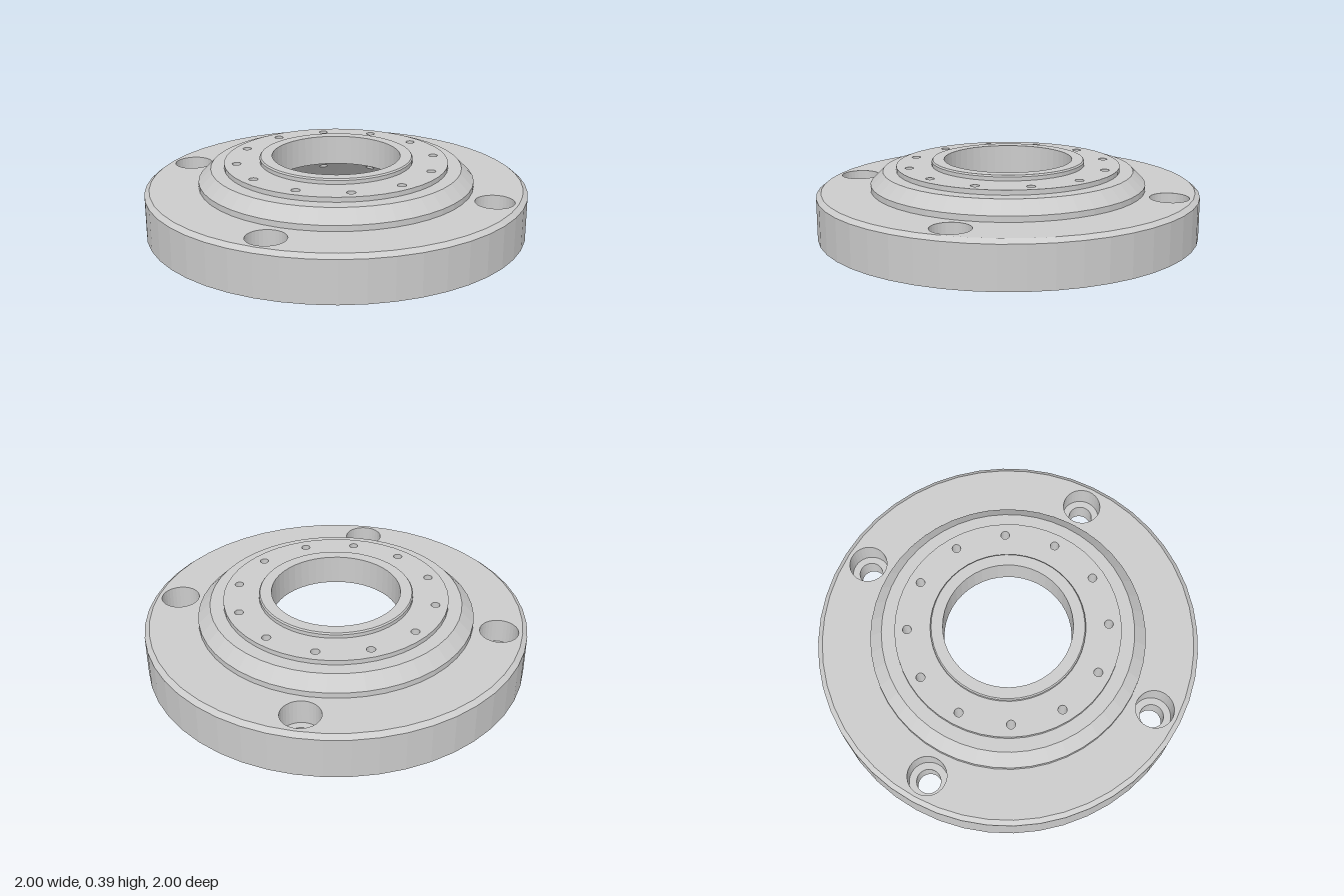
import * as THREE from 'three';

const SEG = 48;
const BOLT = { count: 4, ring: 0.855, bore: 0.0625, counterbore: 0.1, seat: 0.11 };
const PIN = { count: 12, ring: 0.52, r: 0.023 };
const DECK = 0.24, LAND = 0.36;
const LIP_R = 0.725, LIP_Y = 0.03, HUB_R = 0.4, HUB_Y = 0.23;

// Height of the conical underside at a given radius
const coneY = (r) => LIP_Y + (HUB_Y - LIP_Y) * (LIP_R - r) / (LIP_R - HUB_R);

// Points along an arc, angles in radians
function arc(r, a0, a1, n, cx = 0, cy = 0) {
  return Array.from({ length: n + 1 }, (_, i) => {
    const a = a0 + (a1 - a0) * i / n;
    return new THREE.Vector2(cx + r * Math.cos(a), cy + r * Math.sin(a));
  });
}
const circle = (r, n, cx = 0, cy = 0) => arc(r, 0, 2 * Math.PI, n, cx, cy).slice(0, n);

// Hole centres evenly spaced on a pitch circle
const centres = (count, ring) => circle(ring, count);

export function createModel() {
  const model = new THREE.Group();
  const material = new THREE.MeshStandardMaterial({ color: 0xcccccc, flatShading: true });

  function add(name, geometry, parent = model) {
    const mesh = new THREE.Mesh(geometry, material);
    mesh.name = name;
    parent.add(mesh);
    return mesh;
  }
  const lathe = (profile, n = SEG) =>
    new THREE.LatheGeometry(profile.map(([r, y]) => new THREE.Vector2(r, y)), n);

  // Flat ring with round holes, facing up or down
  function ring(rIn, rOut, y, holes, holeR, holeSeg, up) {
    const shape = new THREE.Shape(circle(rOut, SEG));
    shape.holes.push(new THREE.Path(circle(rIn, SEG)));
    for (const c of holes) shape.holes.push(new THREE.Path(circle(holeR, holeSeg, c.x, c.y)));
    return new THREE.ShapeGeometry(shape).rotateX(up ? -Math.PI / 2 : Math.PI / 2).translate(0, y, 0);
  }

  const bolts = centres(BOLT.count, BOLT.ring);
  const pins = centres(PIN.count, PIN.ring);

  // Flange: rim with chamfer, drilled deck and drilled base
  add('flangeRim', lathe([[1, 0], [1, 0.22], [0.975, DECK]]));
  add('flangeDeck', ring(0.72, 0.975, DECK, bolts, BOLT.counterbore, 32, true));
  add('flangeBase', ring(LIP_R, 1, 0, bolts, BOLT.bore, 32, false));

  // Raised shoulder, drilled land and central hub with its bore
  add('shoulder', lathe([[0.72, DECK], [0.72, 0.27], [0.655, 0.335], [0.585, 0.335], [0.585, LAND]]));
  add('land', ring(HUB_R, 0.585, LAND, pins, PIN.r, 16, true));
  add('hubAndBore', lathe([[HUB_R, LAND], [HUB_R, 0.38], [0.394, 0.388], [0.335, 0.388],
    [0.335, HUB_Y], [HUB_R, HUB_Y]]));

  // Recess lip under the flange
  add('recessLip', lathe([[LIP_R, LIP_Y], [LIP_R, 0]]));

  // Counterbored bolt holes
  const boltWall = lathe([[BOLT.counterbore, DECK], [BOLT.counterbore, BOLT.seat],
    [BOLT.bore, BOLT.seat], [BOLT.bore, 0]], 32);
  for (const c of bolts) add('boltHole', boltWall).position.set(c.x, 0, c.y);

  // Conical recess, in narrow sectors that alternate drilled and plain
  const recess = new THREE.Group();
  recess.name = 'conicalRecess';
  model.add(recess);
  const half = Math.PI / 24;
  for (let i = 0; i < 2 * PIN.count; i++) {
    const mid = i * 2 * half;
    const shape = new THREE.Shape([
      ...arc(LIP_R, mid - half, mid + half, 2),
      ...arc(HUB_R, mid + half, mid - half, 2),
    ]);
    if (i % 2 === 0) {
      const c = pins[i / 2];
      shape.holes.push(new THREE.Path(circle(PIN.r, 16, c.x, c.y)));
    }
    const geometry = new THREE.ShapeGeometry(shape).rotateX(Math.PI / 2);
    const p = geometry.attributes.position;
    for (let k = 0; k < p.count; k++) p.setY(k, coneY(Math.hypot(p.getX(k), p.getZ(k))));
    add('recessSector', geometry, recess);
  }

  // Small hole walls, trimmed to the cone at their lower end
  for (const c of pins) {
    const wall = lathe([[PIN.r, LAND], [PIN.r, 0]], 16).translate(c.x, 0, c.y);
    const p = wall.attributes.position;
    for (let k = 0; k < p.count; k++) {
      if (p.getY(k) < 0.1) p.setY(k, coneY(Math.hypot(p.getX(k), p.getZ(k))));
    }
    add('pinHole', wall);
  }

  return model;
}
